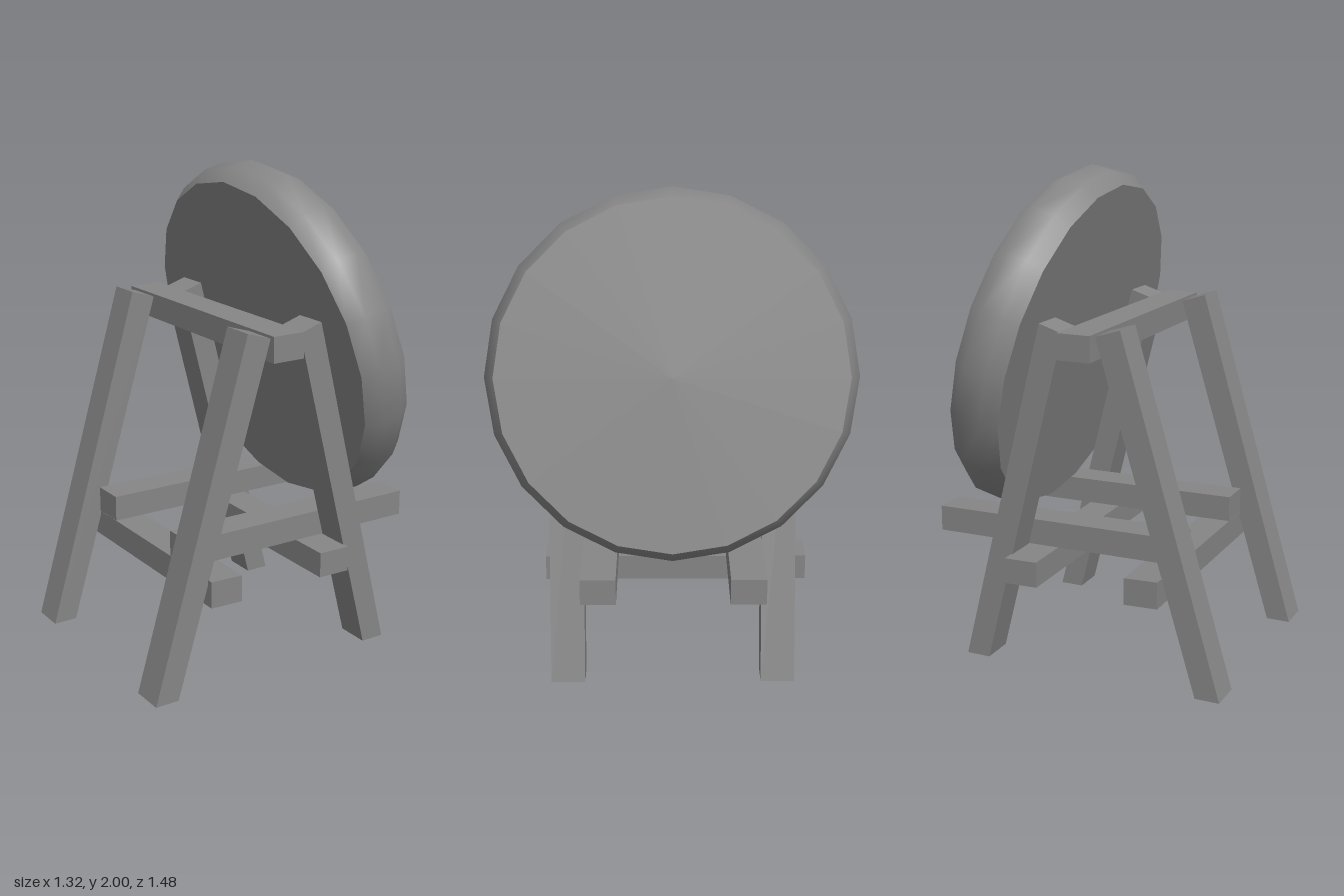
import * as THREE from 'three';

const material = new THREE.MeshStandardMaterial({ color: 0x868686, side: THREE.DoubleSide });

// Straight timber, hollow underneath, whose side outline in x-y is
// [lowLeft, lowRight, topRight, topLeft]
function beam(name, corners, zMin, zMax) {
  const box = new THREE.BoxGeometry(1, 1, 1);
  const p = box.attributes.position;
  for (let i = 0; i < p.count; i++) {
    const right = p.getX(i) > 0, top = p.getY(i) > 0;
    const [x, y] = corners[top ? (right ? 2 : 3) : (right ? 1 : 0)];
    p.setXYZ(i, x, y, p.getZ(i) > 0 ? zMax : zMin);
  }
  // Drop the downward face
  box.setIndex([...box.index.array].filter((_, i) => i < 18 || i >= 24));
  const geometry = box.toNonIndexed();
  geometry.computeVertexNormals();
  const mesh = new THREE.Mesh(geometry, material);
  mesh.name = name;
  return mesh;
}

// Thick round target, axis along local y, with a bevelled rim
function createDisc() {
  const disc = new THREE.Group();
  disc.name = 'targetDisc';
  const sides = 20, faceRadius = 0.697, half = 0.108;
  const profile = [[faceRadius, -half], [0.738, -0.046], [0.738, 0.046], [faceRadius, half]]
    .map(([r, y]) => new THREE.Vector2(r, y));
  const rim = new THREE.Mesh(new THREE.LatheGeometry(profile, sides), material);
  rim.name = 'discRim';
  disc.add(rim);
  for (const s of [1, -1]) {
    const cap = new THREE.CircleGeometry(faceRadius, sides).rotateX(-s * Math.PI / 2);
    const face = new THREE.Mesh(cap.translate(0, s * half, 0), material);
    face.name = s > 0 ? 'discFront' : 'discBack';
    disc.add(face);
  }
  disc.position.set(0.257, 1.273, 0);
  disc.rotation.z = -THREE.MathUtils.degToRad(75.8);
  return disc;
}

export function createModel() {
  const model = new THREE.Group();
  model.name = 'targetStand';

  // Two A-frames, each with a resting arm on its inner side
  const rearLeg = [[-0.66, 0], [-0.558, 0], [-0.134, 1.4], [-0.238, 1.432]];
  const frontLeg = [[0.362, 0], [0.464, 0], [0.106, 1.432], [0.005, 1.4]];
  const arm = [[-0.42, 0.48], [0.66, 0.47], [0.66, 0.577], [-0.42, 0.588]];
  for (const [side, leg0, leg1, arm0, arm1] of [
    ['left', 0.362, 0.502, 0.222, 0.362],
    ['right', -0.505, -0.366, -0.366, -0.225],
  ]) {
    model.add(beam(side + 'RearLeg', rearLeg, leg0, leg1));
    model.add(beam(side + 'FrontLeg', frontLeg, leg0, leg1));
    model.add(beam(side + 'Arm', arm, arm0, arm1));
  }

  // Crossbars joining the frames
  const bars = {
    topBar: [[-0.136, 1.307], [0.005, 1.307], [0.005, 1.412], [-0.136, 1.412]],
    rearBar: [[-0.419, 0.368], [-0.278, 0.363], [-0.278, 0.473], [-0.419, 0.478]],
    frontBar: [[0.106, 0.368], [0.247, 0.365], [0.247, 0.471], [0.106, 0.474]],
  };
  for (const [name, corners] of Object.entries(bars)) model.add(beam(name, corners, -0.557, 0.527));

  model.add(createDisc());
  return model;
}
